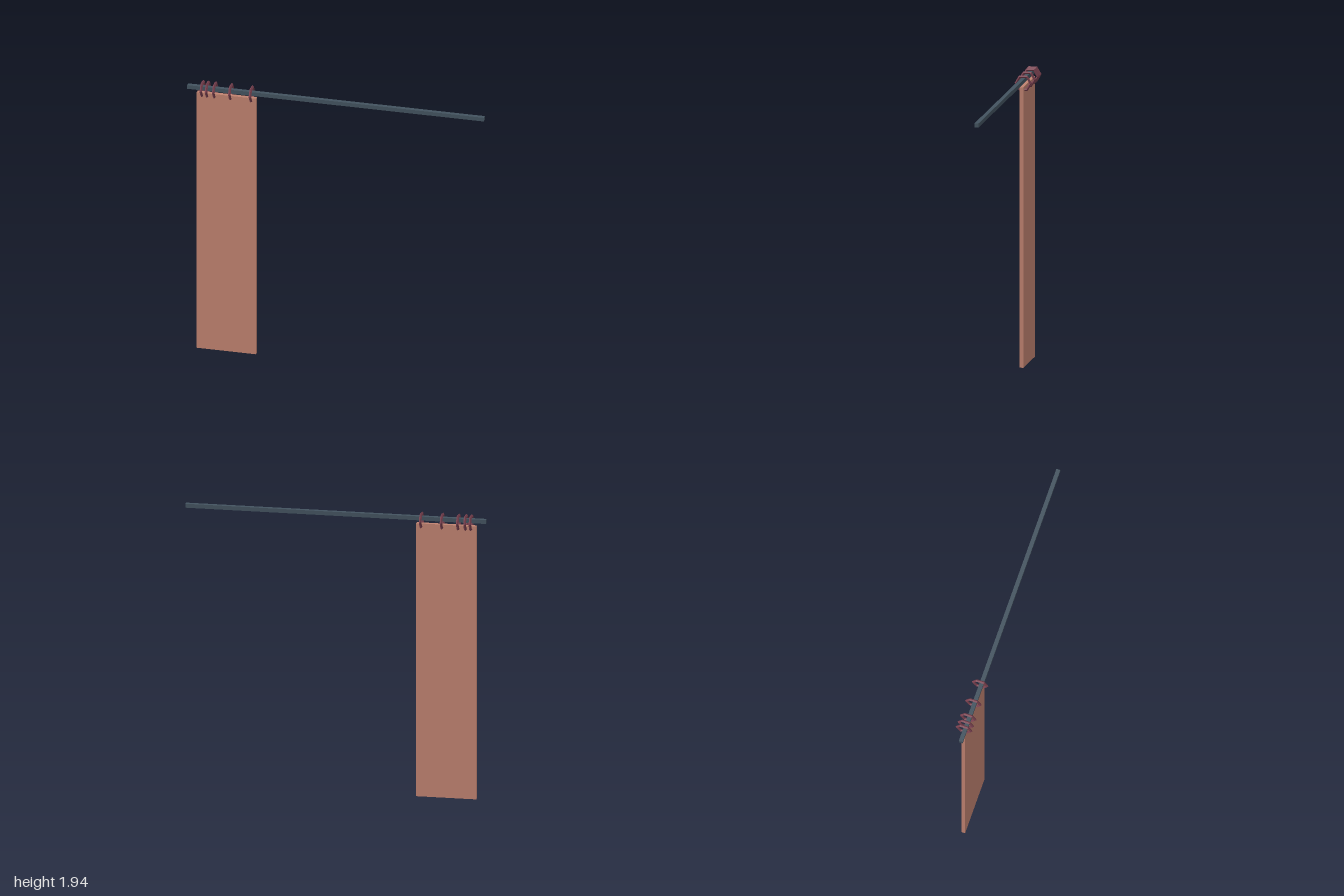
import * as THREE from 'three';

const mat = (color) => new THREE.MeshStandardMaterial({ color, flatShading: true });

function addPart(group, name, geometry, material, x, y, z) {
  const mesh = new THREE.Mesh(geometry, material);
  mesh.name = name;
  mesh.position.set(x, y, z);
  group.add(mesh);
  return mesh;
}

export function createModel() {
  const model = new THREE.Group();
  model.name = 'curtainOnRod';

  // Square rod across the full width
  addPart(model, 'rod', new THREE.BoxGeometry(2, 0.027, 0.027), mat(0x43535f), 0, 1.901, 0.01);

  // Flat curtain panel hanging at one end
  addPart(model, 'curtain', new THREE.BoxGeometry(0.4, 1.868, 0.026), mat(0xc08270), -0.737, 0.934, 0.006);

  // Six-sided rings, bunched towards the end of the rod
  const ringGeometry = new THREE.TorusGeometry(0.049, 0.009, 4, 6);
  ringGeometry.rotateY(Math.PI / 2);
  const ringMaterial = mat(0x7a4150);
  [-0.902, -0.867, -0.818, -0.71, -0.571].forEach((x, i) => {
    addPart(model, `ring${i + 1}`, ringGeometry, ringMaterial, x, 1.89, 0);
  });

  return model;
}
